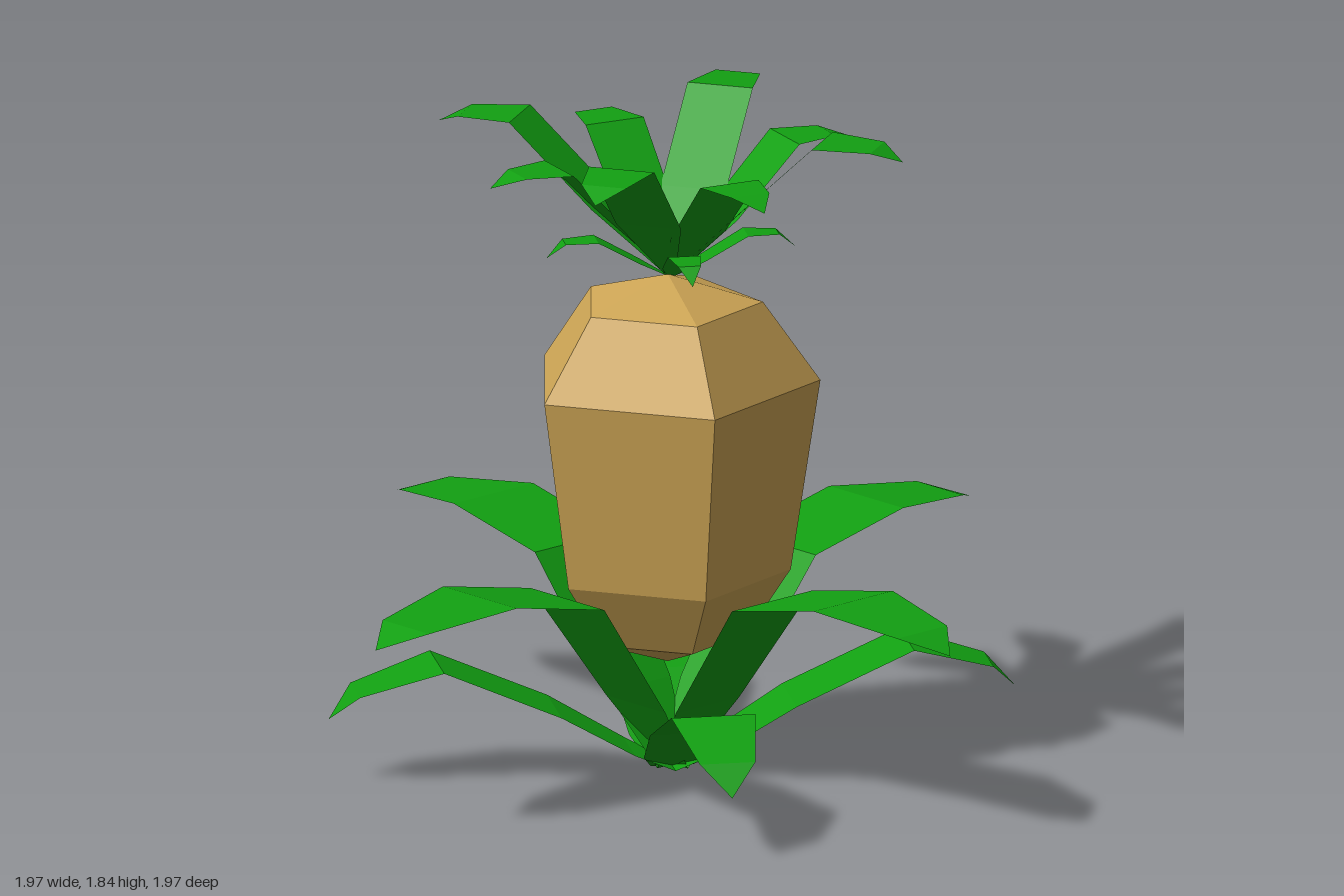
import * as THREE from 'three';

const green = new THREE.MeshStandardMaterial({ color: 0x12a012, flatShading: true, side: THREE.DoubleSide });
const tan = new THREE.MeshStandardMaterial({ color: 0xcda555, flatShading: true });

// Flat ribbon leaf pointing along +x; stations are [reach, height, half width]
function leafGeometry(stations) {
  const pos = [], index = [];
  stations.forEach(([r, y, w], i) => {
    pos.push(r, y, w, r, y, -w);
    if (i === 0) return;
    const a = 2 * (i - 1);
    index.push(a, a + 2, a + 1, a + 1, a + 2, a + 3);
  });
  const geo = new THREE.BufferGeometry();
  geo.setAttribute('position', new THREE.Float32BufferAttribute(pos, 3));
  geo.setIndex(index);
  const flat = geo.toNonIndexed();
  flat.computeVertexNormals();
  return flat;
}

// Four equal leaves; the angle turns the first one from +x towards +z
function leafRing(name, degrees, z, stations) {
  const ring = new THREE.Group();
  ring.name = name;
  ring.position.set(-0.01, 0, z);
  const geo = leafGeometry(stations);
  for (let i = 0; i < 4; i++) {
    const leaf = new THREE.Mesh(geo, green);
    leaf.name = 'leaf';
    leaf.rotation.y = -THREE.MathUtils.degToRad(degrees + 90 * i);
    ring.add(leaf);
  }
  return ring;
}

export function createModel() {
  const model = new THREE.Group();
  model.name = 'pineapplePlant';

  // Five-sided fruit with a flat side to the front
  const profile = [[0, 0.31], [0.22, 0.39], [0.34, 0.575], [0.422, 1.12], [0.263, 1.345], [0, 1.425]]
    .map(([r, y]) => new THREE.Vector2(r, y));
  const fruit = new THREE.Mesh(new THREE.LatheGeometry(profile, 5, Math.PI / 5), tan);
  fruit.name = 'fruit';
  fruit.position.set(-0.01, 0, 0.057);
  model.add(fruit);

  // Leaves around the foot
  model.add(leafRing('upperFootLeaves', 29, 0.01, [
    [0, 0.0, 0.06], [0.14, 0.2, 0.12], [0.4, 0.555, 0.15], [0.73, 0.625, 0.15], [1.01, 0.595, 0.095], [1.125, 0.55, 0]]));
  model.add(leafRing('lowerFootLeaves', -28, 0.02, [
    [0, 0.0, 0.06], [0.12, 0.06, 0.1], [0.33, 0.185, 0.12], [0.66, 0.33, 0.118], [0.89, 0.26, 0.078], [0.965, 0.18, 0]]));

  // Crown
  model.add(leafRing('tallCrownLeaves', 0, 0.03, [
    [0, 1.41, 0.012], [0.2, 1.61, 0.095], [0.44, 1.84, 0.095], [0.6, 1.835, 0.065], [0.675, 1.8, 0]]));
  model.add(leafRing('middleCrownLeaves', 45, 0.02, [
    [0, 1.41, 0.012], [0.16, 1.57, 0.085], [0.35, 1.765, 0.09], [0.48, 1.765, 0.058], [0.565, 1.735, 0]]));
  model.add(leafRing('smallCrownLeaves', -28, 0.03, [
    [0, 1.41, 0.008], [0.09, 1.46, 0.04], [0.21, 1.528, 0.046], [0.3, 1.525, 0.032], [0.35, 1.48, 0]]));

  return model;
}
